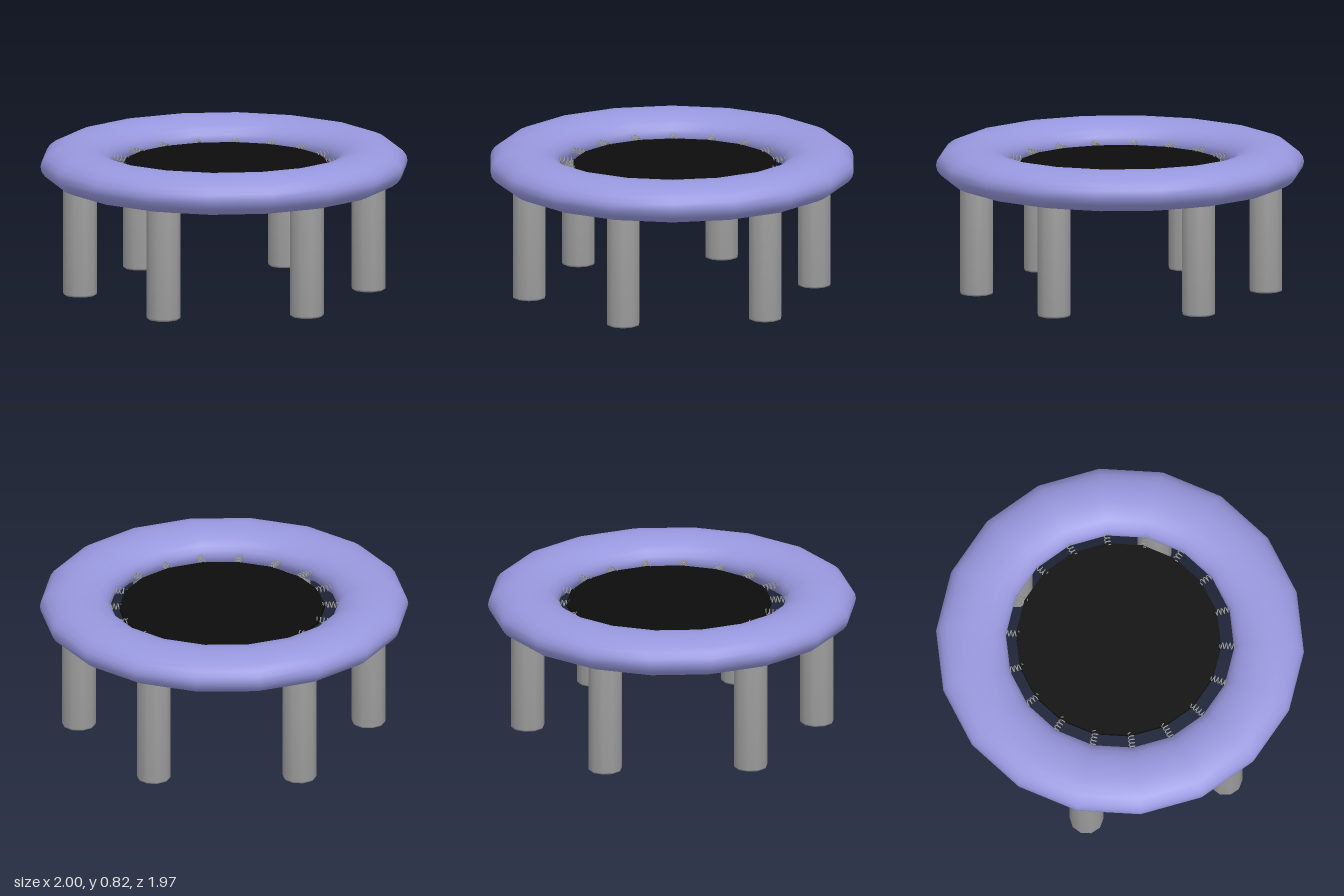
import * as THREE from 'three';

const material = (name, color) => {
  const m = new THREE.MeshStandardMaterial({ color });
  m.name = name;
  return m;
};

export function createModel() {
  const group = new THREE.Group();
  const purple = material('purple padding', 0x9797de);
  const grey = material('grey metal', 0x999999);
  const black = material('black fabric', 0x0c0c0c);

  const add = (name, geometry, mat, x = 0, y = 0, z = 0) => {
    const mesh = new THREE.Mesh(geometry, mat);
    mesh.name = name;
    mesh.position.set(x, y, z);
    group.add(mesh);
    return mesh;
  };

  // Flattened padded ring with eighteen sides
  const ring = new THREE.TorusGeometry(0.81, 0.19, 24, 18);
  ring.rotateX(Math.PI / 2);
  ring.scale(1, 0.11 / 0.19, 1);
  add('paddedRing', ring, purple, 0, 0.712, 0);

  // Jumping mat
  add('jumpingMat', new THREE.CylinderGeometry(0.558, 0.558, 0.02, 18).rotateY(Math.PI / 2),
    black, -0.004, 0.703, -0.015);

  // Legs with a small bevel at the foot
  const legProfile = [[0, 0], [0.082, 0], [0.09, 0.004], [0.092, 0.012], [0.092, 0.69], [0, 0.69]]
    .map(([r, y]) => new THREE.Vector2(r, y));
  const leg = new THREE.LatheGeometry(legProfile, 10);
  for (let i = 0; i < 6; i++) {
    const a = i * Math.PI / 3;
    add('leg', leg, grey, 0.786 * Math.cos(a) - 0.006 * Math.cos(2 * a), 0, 0.786 * Math.sin(a));
  }

  // Coil springs joining the mat to the ring
  const coilPoints = [];
  const turns = 5;
  for (let i = 0; i <= turns * 8; i++) {
    const t = i / (turns * 8);
    const a = t * turns * Math.PI * 2;
    coilPoints.push(new THREE.Vector3(0.545 + 0.1 * t, 0.016 * Math.cos(a), 0.016 * Math.sin(a)));
  }
  const coil = new THREE.TubeGeometry(new THREE.CatmullRomCurve3(coilPoints), 60, 0.003, 5);
  for (let i = 0; i < 18; i++) {
    add('spring', coil, grey, 0, 0.71, -0.012).rotation.y = i * Math.PI / 9;
  }

  return group;
}
